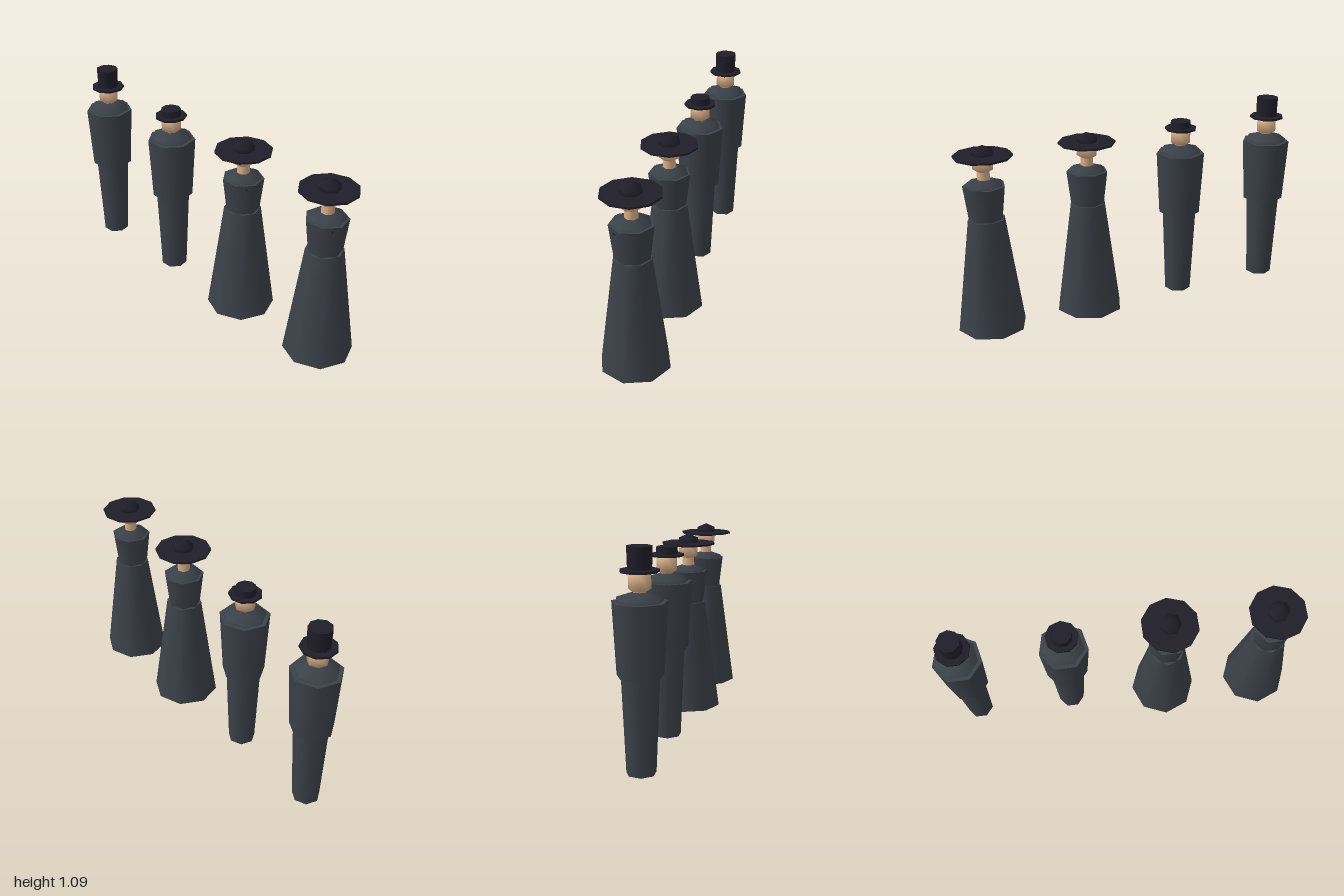
import * as THREE from 'three';

const mat = (name, color) => {
  const m = new THREE.MeshStandardMaterial({ color });
  m.name = name;
  return m;
};

export function createModel() {
  const cloth = mat('charcoal cloth', 0x3c424a);
  const felt = mat('black felt', 0x1f1e29);
  const skin = mat('skin', 0xdcb08a);

  const add = (parent, name, geometry, material) => {
    const mesh = new THREE.Mesh(geometry, material);
    mesh.name = name;
    parent.add(mesh);
    return mesh;
  };

  // Tapered prism between two heights, one corner pointing to the back
  const taper = (parent, name, material, y0, r0, y1, r1, sides) => {
    const g = new THREE.CylinderGeometry(r1, r0, y1 - y0, sides);
    g.rotateY(Math.PI).translate(0, (y0 + y1) / 2, 0);
    return add(parent, name, g, material);
  };

  // Coarse ball with three bands, squashed to height ry
  const ball = (parent, name, material, y, r, ry, sides = 7) => {
    const g = new THREE.SphereGeometry(1, sides, 3);
    g.rotateY(-Math.PI / 2).scale(r, ry, r).translate(0, y, 0);
    return add(parent, name, g, material);
  };

  const head = (parent) => {
    taper(parent, 'neck', skin, 0.81, 0.036, 0.9, 0.033, 7);
    ball(parent, 'head', skin, 0.92, 0.063, 0.064);
  };

  const man = (x, brimY, brimR, crownTop, crownTopR) => {
    const g = new THREE.Group();
    g.name = 'man';
    g.position.x = x;
    taper(g, 'trousers', cloth, 0, 0.074, 0.5, 0.096, 7);
    taper(g, 'coat', cloth, 0.48, 0.115, 0.83, 0.135, 7);
    ball(g, 'shoulders', cloth, 0.81, 0.13, 0.075);
    head(g);
    taper(g, 'hatBrim', felt, brimY - 0.006, brimR, brimY + 0.006, brimR, 9);
    taper(g, 'hatCrown', felt, brimY, 0.058, crownTop, crownTopR, 9);
    return g;
  };

  const woman = (x) => {
    const g = new THREE.Group();
    g.name = 'woman';
    g.position.x = x;
    taper(g, 'skirt', cloth, 0, 0.185, 0.62, 0.098, 8);
    taper(g, 'bodice', cloth, 0.6, 0.088, 0.8, 0.112, 7);
    ball(g, 'shoulders', cloth, 0.775, 0.113, 0.07);
    head(g);
    taper(g, 'hatBrim', felt, 0.952, 0.153, 0.962, 0.153, 10);
    ball(g, 'hatCrown', felt, 0.963, 0.065, 0.05);
    // Small brooch on the left of the chest
    add(g, 'brooch', new THREE.SphereGeometry(0.006, 6, 4), felt).position.set(0.081, 0.775, 0.058);
    return g;
  };

  const model = new THREE.Group();
  model.name = 'fourFigures';
  model.add(
    man(-0.868, 0.972, 0.094, 1.085, 0.061),
    man(-0.31, 0.967, 0.088, 1.01, 0.055),
    woman(0.25),
    woman(0.815)
  );
  return model;
}
